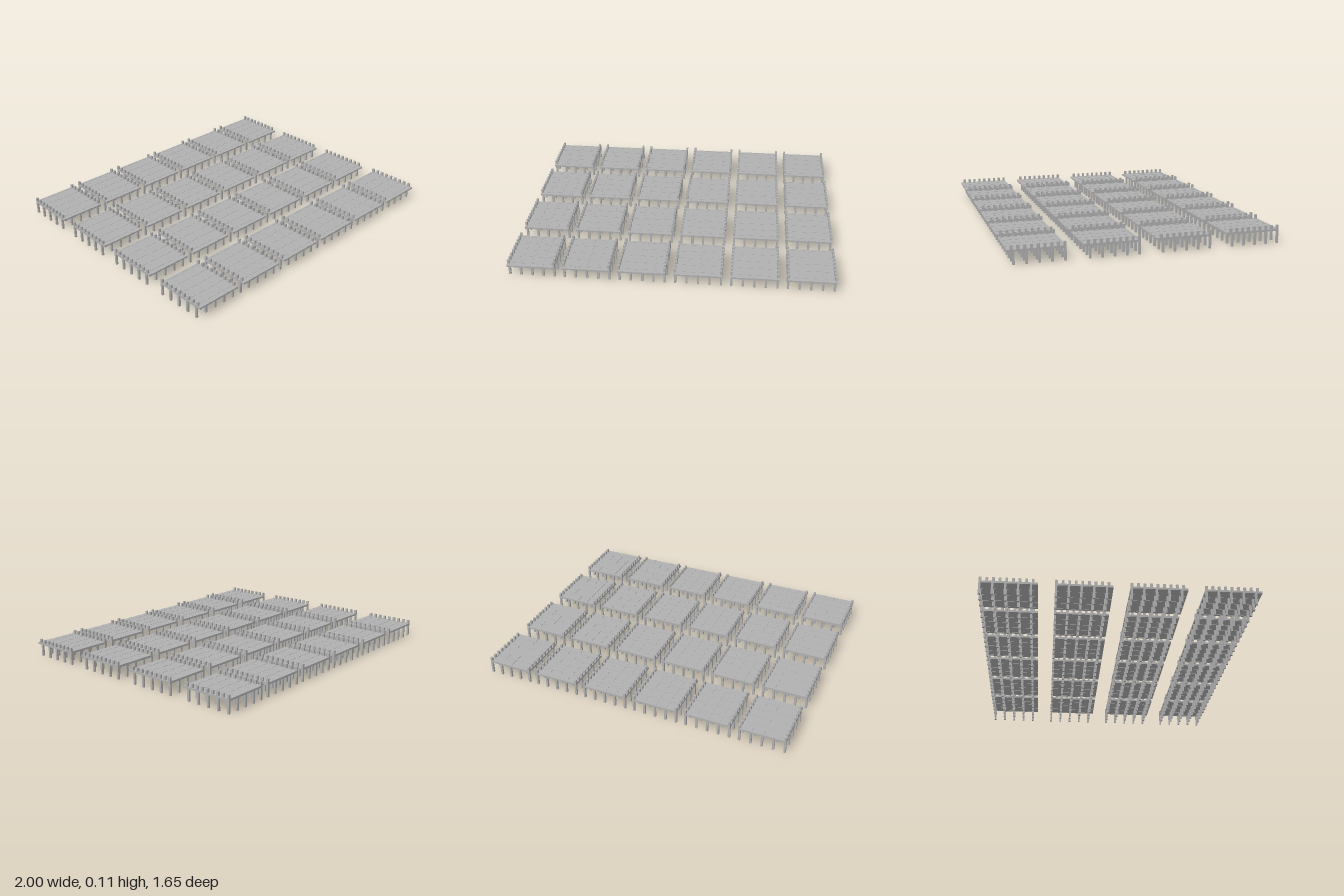
import * as THREE from 'three';
import { mergeGeometries } from 'three/addons/utils/BufferGeometryUtils.js';

const W = 0.292, D = 0.339;            // platform size
const PITCH_X = 0.3416, PITCH_Z = 0.438;
const DECK_BOTTOM = 0.075, DECK_TOP = 0.088, RAIL_TOP = 0.112;
const T = 0.013;                       // leg and post thickness

// box given by centre x, z and bottom/top heights
function box(w, y0, y1, d, x, z) {
  return new THREE.BoxGeometry(w, y1 - y0, d).translate(x, (y0 + y1) / 2, z);
}

export function createModel() {
  const model = new THREE.Group();
  model.name = 'platformField';
  const grey = new THREE.MeshStandardMaterial({ color: 0xb0b0b0 });
  grey.name = 'grey';

  // legs: 5 x 5 grid, flush with the back edge, set in from the front
  const backZ = -D / 2 + T / 2;
  const legX = [], legZ = [];
  for (let i = 0; i < 5; i++) {
    legX.push(-W / 2 + T / 2 + i * (W - T) / 4);
    legZ.push(backZ + i * 0.0735);
  }
  const legs = [];
  for (const x of legX) for (const z of legZ) legs.push(box(T, 0, DECK_BOTTOM + 0.002, T, x, z));

  // deck panel with a shallow lattice of beams over the leg lines
  const deck = [box(W, DECK_BOTTOM + 0.0015, DECK_TOP - 0.0015, D, 0, 0)];
  for (const x of legX) deck.push(box(T, DECK_BOTTOM, DECK_TOP, D, x, 0));
  for (const z of legZ) deck.push(box(W, DECK_BOTTOM, DECK_TOP, T, 0, z));

  // nine short posts along each side
  const posts = [];
  for (const side of [-1, 1]) {
    for (let i = 0; i < 9; i++) {
      posts.push(box(T, DECK_TOP - 0.004, RAIL_TOP, 0.0155, side * (W - T) / 2, -D / 2 + 0.008 + i * 0.038));
    }
  }

  const parts = {
    legs: mergeGeometries(legs),
    deck: mergeGeometries(deck),
    sidePosts: mergeGeometries(posts),
  };

  // four rows of six platforms
  for (let row = 0; row < 4; row++) {
    for (let col = 0; col < 6; col++) {
      const platform = new THREE.Group();
      platform.name = `platform_${row + 1}_${col + 1}`;
      for (const [name, geometry] of Object.entries(parts)) {
        const mesh = new THREE.Mesh(geometry, grey);
        mesh.name = name;
        platform.add(mesh);
      }
      platform.position.set((col - 2.5) * PITCH_X, 0, (row - 1.5) * PITCH_Z);
      model.add(platform);
    }
  }
  return model;
}
